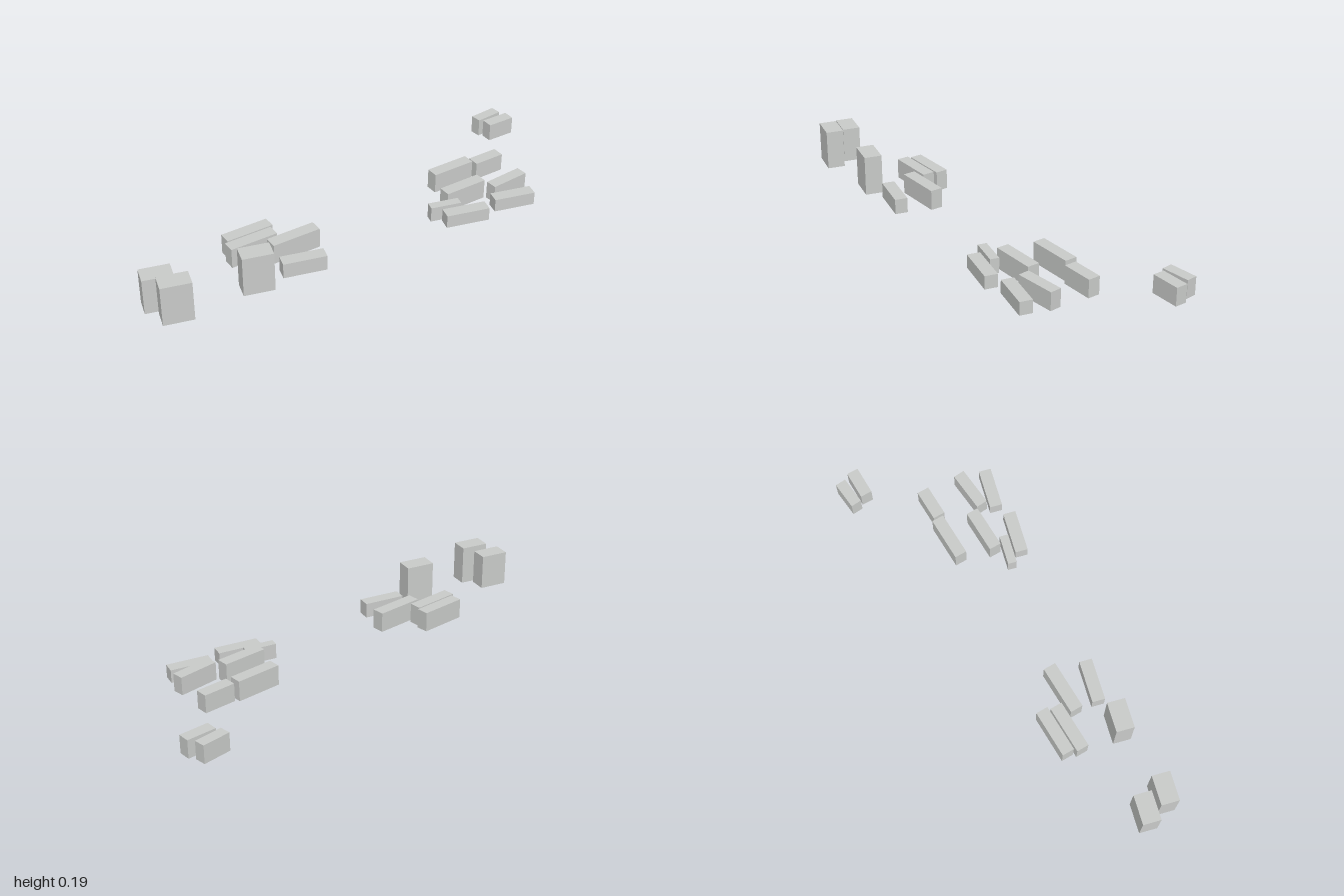
import * as THREE from 'three';

// Each block: [centre x, centre z, length, depth, height, turn about y]
const TOWERS = [
  [-0.93, 0.448, 0.136, 0.084, 0.172, 0.055],
  [-0.868, 0.544, 0.136, 0.084, 0.192, 0.055],
  [-0.507, 0.437, 0.14, 0.084, 0.192, 0.055],
];
const LOW_BLOCKS = [
  [-0.287, 0.37, 0.2, 0.06, 0.073, 0.06],
  [0.432, 0.142, 0.146, 0.042, 0.073, 0.06],
  [0.517, 0.197, 0.207, 0.06, 0.063, 0.06],
  [0.768, 0.131, 0.198, 0.059, 0.063, 0.06],
];
const LONG_BLOCKS = [
  [-0.489, 0.147, 0.227, 0.058, 0.097, 0.314],
  [-0.484, 0.214, 0.229, 0.058, 0.097, 0.314],
  [-0.298, 0.23, 0.235, 0.06, 0.097, 0.314],
  [0.55, 0.05, 0.213, 0.058, 0.097, 0.32],
  [0.547, -0.117, 0.217, 0.058, 0.097, 0.32],
];
const SHORT_BLOCKS = [
  [0.773, 0.034, 0.195, 0.055, 0.087, 0.39],
  [0.742, -0.165, 0.154, 0.058, 0.087, 0.32],
  [0.88, -0.54, 0.137, 0.052, 0.087, 0.4],
  [0.922, -0.479, 0.14, 0.056, 0.087, 0.31],
];

export function createModel() {
  const model = new THREE.Group();
  model.name = 'buildingBlocks';
  const wall = new THREE.MeshStandardMaterial({ color: 0xc8cac8 });
  wall.name = 'light grey';

  // One named group per kind of building, all standing on the ground
  const addBlocks = (name, list) => {
    const group = new THREE.Group();
    group.name = name + 's';
    list.forEach(([x, z, length, depth, height, turn], i) => {
      const block = new THREE.Mesh(new THREE.BoxGeometry(length, height, depth), wall);
      block.name = name + (i + 1);
      block.position.set(x, height / 2, z);
      block.rotation.y = turn;
      group.add(block);
    });
    model.add(group);
  };

  addBlocks('tower', TOWERS);
  addBlocks('lowBlock', LOW_BLOCKS);
  addBlocks('longBlock', LONG_BLOCKS);
  addBlocks('shortBlock', SHORT_BLOCKS);
  return model;
}
